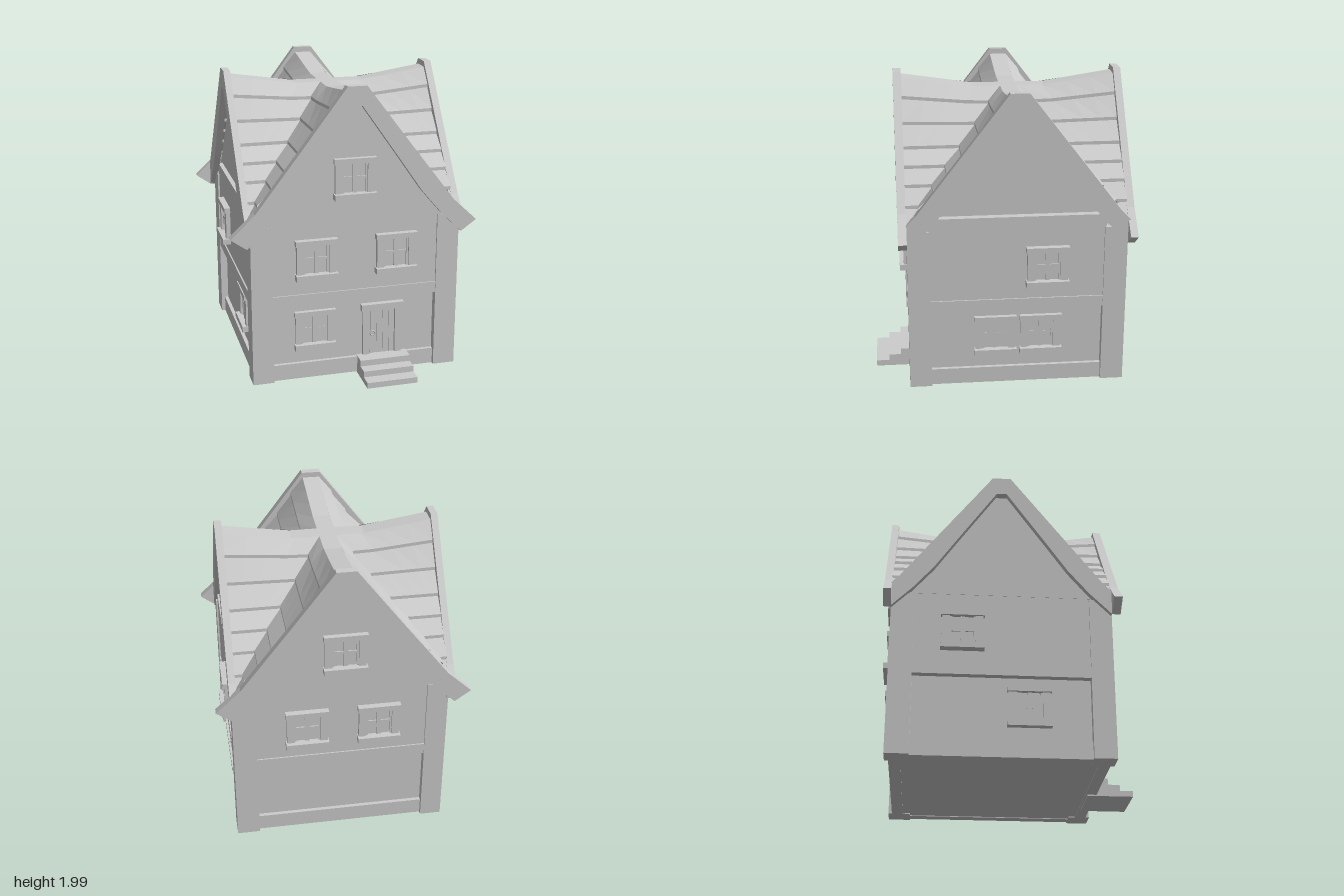
import * as THREE from 'three';

const stone = new THREE.MeshStandardMaterial({ color: 0xcccccc, side: THREE.DoubleSide });
stone.name = 'pale grey';

// Centre of the crossing ridges
const CX = -0.015, CZ = -0.093;

function add(parent, name, geometry) {
  const m = new THREE.Mesh(geometry, stone);
  m.name = name;
  parent.add(m);
  return m;
}

// Box given by its limits on each axis
function box(parent, name, x0, x1, y0, y1, z0, z1) {
  const m = add(parent, name, new THREE.BoxGeometry(x1 - x0, y1 - y0, z1 - z0));
  m.position.set((x0 + x1) / 2, (y0 + y1) / 2, (z0 + z1) / 2);
  return m;
}

// Symmetrical outline from a half profile, extruded between two depths
function slab(parent, name, outline, u, z0, z1) {
  const shape = new THREE.Shape(outline.map(([x, y]) => new THREE.Vector2(x + u, y)));
  const m = add(parent, name, new THREE.ExtrudeGeometry(shape, { depth: z1 - z0, bevelEnabled: false }));
  m.position.z = z0;
  return m;
}
const mirror = (half) => [...half, ...half.slice().reverse().map(([x, y]) => [-x, y])];

function addWindow(parent, u, y, w) {
  const g = new THREE.Group();
  g.name = 'window';
  g.position.set(u, y, w);
  parent.add(g);
  box(g, 'pane', -0.09, 0.09, -0.1, 0.105, -0.03, -0.005);
  for (const s of [-1, 1]) {
    box(g, 'jamb', s * 0.108 - 0.024, s * 0.108 + 0.024, -0.1, 0.105, -0.03, 0.018);
    box(g, 'casement edge', s * 0.078 - 0.007, s * 0.078 + 0.007, -0.1, 0.105, -0.03, 0.006);
    box(g, 'crossbar', s * 0.045 - 0.035, s * 0.045 + 0.035, -0.004, 0.012, -0.03, 0.003);
  }
  box(g, 'mullion', -0.014, 0.014, -0.1, 0.105, -0.03, 0.006);
  box(g, 'hood', -0.14, 0.14, 0.1, 0.135, -0.03, 0.03);
  box(g, 'sill', -0.14, 0.14, -0.135, -0.096, -0.03, 0.045);
}

function addDoor(parent) {
  const g = new THREE.Group();
  g.name = 'door';
  g.position.set(0.192, 0.12, -0.05);
  parent.add(g);
  for (let i = 0; i < 4; i++) {
    const x = -0.077 + i * 0.0435;
    box(g, 'door plank', x, x + 0.033, 0, 0.335, -0.03, 0.006);
  }
  box(g, 'door panel', -0.09, 0.1, 0, 0.335, -0.03, -0.005);
  box(g, 'door jamb', -0.132, -0.085, 0, 0.335, -0.03, 0.02);
  box(g, 'door jamb', 0.092, 0.138, 0, 0.335, -0.03, 0.02);
  box(g, 'door hood', -0.147, 0.147, 0.33, 0.375, -0.03, 0.04);
  const ring = add(g, 'door ring', new THREE.TorusGeometry(0.016, 0.005, 6, 12));
  ring.position.set(-0.062, 0.155, 0.012);
}

// Barge boards: flared outside edge, curved inside edge
const innerEdge = [[0.715, 0.985], [0.57, 1.13], [0.435, 1.29], [0.29, 1.5], [0.033, 1.867]];
const longBarge = [...mirror([[0.82, 1.06], [0.66, 1.21], [0.36, 1.6], [0.063, 1.993]]),
  ...mirror(innerEdge).reverse()];
const shortBarge = [...mirror([[0.72, 1.15], [0.66, 1.21], [0.36, 1.6], [0.06, 1.99]]),
  ...mirror(innerEdge).reverse()];
const gableOutline = mirror([[0.68, 1.1], [0.68, 1.125], [0.435, 1.42], [0.045, 1.88]]);

// One side of the house; local z = 0 is the outer face of the corner posts
function addSide(house, o) {
  const g = new THREE.Group();
  g.name = o.name;
  g.position.set(...o.pos);
  g.rotation.y = o.turn;
  house.add(g);
  const a = o.mid - 0.575, b = o.mid + 0.575;
  box(g, 'plinth', a, b, 0.01, 0.12, -0.1, -0.025);
  box(g, 'storey beam', a, b, 0.545, 0.62, -0.1, -0.003);
  box(g, 'upper wall', a, b, 0.62, 1.11, -0.1, -0.012);
  if (o.beam) box(g, 'eaves beam', a, b, 1.11, 1.185, -0.1, -0.01);
  slab(g, 'gable wall', gableOutline, o.ridge, -0.12, o.gableFace);
  slab(g, 'barge board', o.barge, o.ridge, ...o.bargeDepth);
  for (const [u, y, w] of o.windows) addWindow(g, u, y, w);
  return g;
}

// Plank courses: distance from the ridge and height
const courses = [[0.057, 1.885], [0.145, 1.785], [0.245, 1.668], [0.355, 1.545],
  [0.455, 1.445], [0.545, 1.345], [0.635, 1.235], [0.715, 1.125]];
// The ridge rises towards the gables and the lower planks stay level
const lift = (d, t) => 0.067 * Math.max(0, (t - 0.24) / 0.44) * Math.max(0, 1 - (d - 0.057) / 0.22);

function addRoofArm(house, name, tx, tz, end) {
  const pos = [];
  const point = (s, d, t, y) => new THREE.Vector3(
    CX + tx * t + tz * s * d, y + lift(d, t), CZ + tz * t + tx * s * d);
  const quad = (a, b, c, e, out) => {
    const n = new THREE.Vector3().crossVectors(c.clone().sub(a), e.clone().sub(b));
    const order = n.dot(out) > 0 ? [a, b, c, a, c, e] : [a, c, b, a, e, c];
    for (const p of order) pos.push(p.x, p.y, p.z);
  };
  const up = new THREE.Vector3(0, 1, 0);
  const cuts = 4;
  for (const s of [-1, 1]) {
    const out = new THREE.Vector3(tz * s, 0, tx * s);
    for (let k = 0; k < courses.length - 1; k++) {
      const [d0, y0] = courses[k], [d1, y1] = courses[k + 1];
      const at = (d, i) => { const v = Math.min(d, end); return v + (end - v) * i / cuts; };
      for (let i = 0; i < cuts; i++) {
        // sloping plank and the small step below it
        const p = point(s, d1, at(d1, i), y1 + 0.022), q = point(s, d1, at(d1, i + 1), y1 + 0.022);
        quad(point(s, d0, at(d0, i), y0), point(s, d0, at(d0, i + 1), y0), q, p, up);
        quad(p, q, point(s, d1, at(d1, i + 1), y1), point(s, d1, at(d1, i), y1), out);
      }
    }
  }
  // flat ridge strip
  const r = courses[0][0], y = courses[0][1];
  const ts = [0, r, 0.24, 0.4, 0.55, end];
  for (let i = 0; i < ts.length - 1; i++) {
    const t0 = ts[i], t1 = ts[i + 1], h = Math.min(r, t0), j = Math.min(r, t1);
    quad(point(-1, h, t0, y), point(1, h, t0, y), point(1, j, t1, y), point(-1, j, t1, y), up);
  }
  const geo = new THREE.BufferGeometry();
  geo.setAttribute('position', new THREE.Float32BufferAttribute(pos, 3));
  geo.computeVertexNormals();
  add(house, name, geo);
}

export function createModel() {
  const house = new THREE.Group();
  house.name = 'house';

  // Recessed core and corner posts
  box(house, 'house core', -0.65, 0.655, 0.015, 1.1, -0.75, 0.575);
  for (const [x0, x1] of [[-0.7, -0.56], [0.555, 0.705]])
    for (const [z0, z1] of [[-0.8, -0.65], [0.48, 0.625]])
      box(house, 'corner post', x0, x1, 0.01, 1.1, z0, z1);

  const low = -0.05;
  const front = addSide(house, {
    name: 'front', pos: [0, 0, 0.625], turn: 0, mid: 0, ridge: CX, gableFace: -0.005,
    barge: longBarge, bargeDepth: [-0.002, 0.053],
    windows: [[-0.27, 0.862, 0], [0.27, 0.862, 0], [-0.27, 0.35, low], [CX, 1.39, 0]],
  });
  addDoor(front);
  addSide(house, {
    name: 'back', pos: [0, 0, -0.8], turn: Math.PI, mid: 0, ridge: -CX, gableFace: -0.005,
    barge: longBarge, bargeDepth: [-0.002, 0.047],
    windows: [[-0.225, 0.845, 0], [0.245, 0.845, 0], [0.02, 1.4, 0]],
  });
  addSide(house, {
    name: 'left side', pos: [0.705, 0, 0], turn: Math.PI / 2, mid: 0.085, ridge: -CZ, gableFace: -0.06,
    barge: shortBarge, bargeDepth: [-0.04, 0.008], beam: true,
    windows: [[0.28, 0.845, 0], [-0.055, 0.35, low], [0.245, 0.35, low]],
  });
  addSide(house, {
    name: 'right side', pos: [-0.7, 0, 0], turn: -Math.PI / 2, mid: -0.085, ridge: CZ, gableFace: -0.04,
    barge: shortBarge, bargeDepth: [-0.012, 0.033], beam: true,
    windows: [[-0.338, 0.845, 0], [0.09, 0.35, low]],
  });

  // Crossed plank roof
  addRoofArm(house, 'front roof', 0, 1, 0.72);
  addRoofArm(house, 'back roof', 0, -1, 0.71);
  addRoofArm(house, 'left roof', 1, 0, 0.685);
  addRoofArm(house, 'right roof', -1, 0, 0.68);

  // Front steps
  [[0.125, 0.68], [0.083, 0.76], [0.042, 0.847]].forEach(([y, z]) =>
    box(house, 'front step', 0.02, 0.367, 0.002, y, 0.54, z));
  return house;
}
